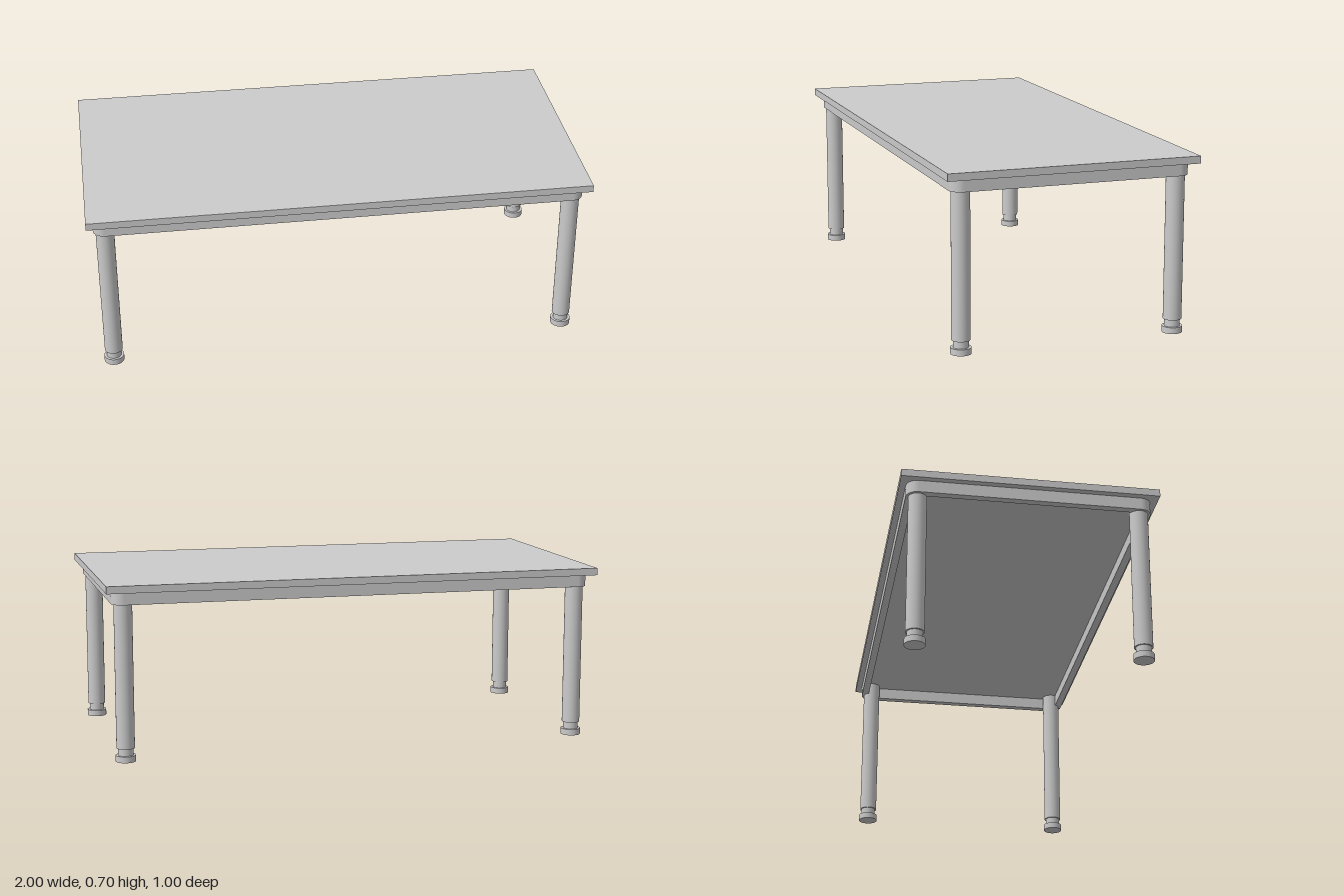
import * as THREE from 'three';

const LEG_X = 0.928, LEG_Z = 0.429;

export function createModel() {
  const table = new THREE.Group();
  table.name = 'table';
  const material = new THREE.MeshStandardMaterial({ color: 0xcccccc });

  const add = (parent, name, geometry, x, y, z) => {
    const mesh = new THREE.Mesh(geometry, material);
    mesh.name = name;
    mesh.position.set(x, y, z);
    parent.add(mesh);
  };

  // Flat slab top
  add(table, 'tabletop', new THREE.BoxGeometry(2, 0.029, 1), 0, 0.6855, 0);

  // Apron frame, its outer corners rounded around the legs
  const r = 0.046, w = LEG_X + r, d = LEG_Z + r, t = 0.03;
  const frame = new THREE.Shape();
  frame.absarc(LEG_X, LEG_Z, r, 0, Math.PI / 2);
  frame.absarc(-LEG_X, LEG_Z, r, Math.PI / 2, Math.PI);
  frame.absarc(-LEG_X, -LEG_Z, r, Math.PI, Math.PI * 1.5);
  frame.absarc(LEG_X, -LEG_Z, r, Math.PI * 1.5, Math.PI * 2);
  frame.closePath();
  const iw = w - t, id = d - t;
  frame.holes.push(new THREE.Path([
    new THREE.Vector2(-iw, -id), new THREE.Vector2(-iw, id),
    new THREE.Vector2(iw, id), new THREE.Vector2(iw, -id),
  ]));
  const apron = new THREE.ExtrudeGeometry(frame, { depth: 0.05, bevelEnabled: false, curveSegments: 10 });
  apron.rotateX(-Math.PI / 2);
  add(table, 'apron', apron, 0, 0.622, 0);

  // Round legs: foot pad, narrow neck and long post
  const sections = [
    ['foot', 0.04, 0, 0.025],
    ['neck', 0.03, 0.025, 0.053],
    ['post', 0.036, 0.053, 0.671],
  ];
  for (const sx of [-1, 1]) for (const sz of [-1, 1]) {
    const leg = new THREE.Group();
    leg.name = `${sz > 0 ? 'front' : 'back'}${sx > 0 ? 'Left' : 'Right'}Leg`;
    leg.position.set(sx * LEG_X, 0, sz * LEG_Z);
    for (const [name, radius, y0, y1] of sections) {
      add(leg, name, new THREE.CylinderGeometry(radius, radius, y1 - y0, 32), 0, (y0 + y1) / 2, 0);
    }
    table.add(leg);
  }
  return table;
}
